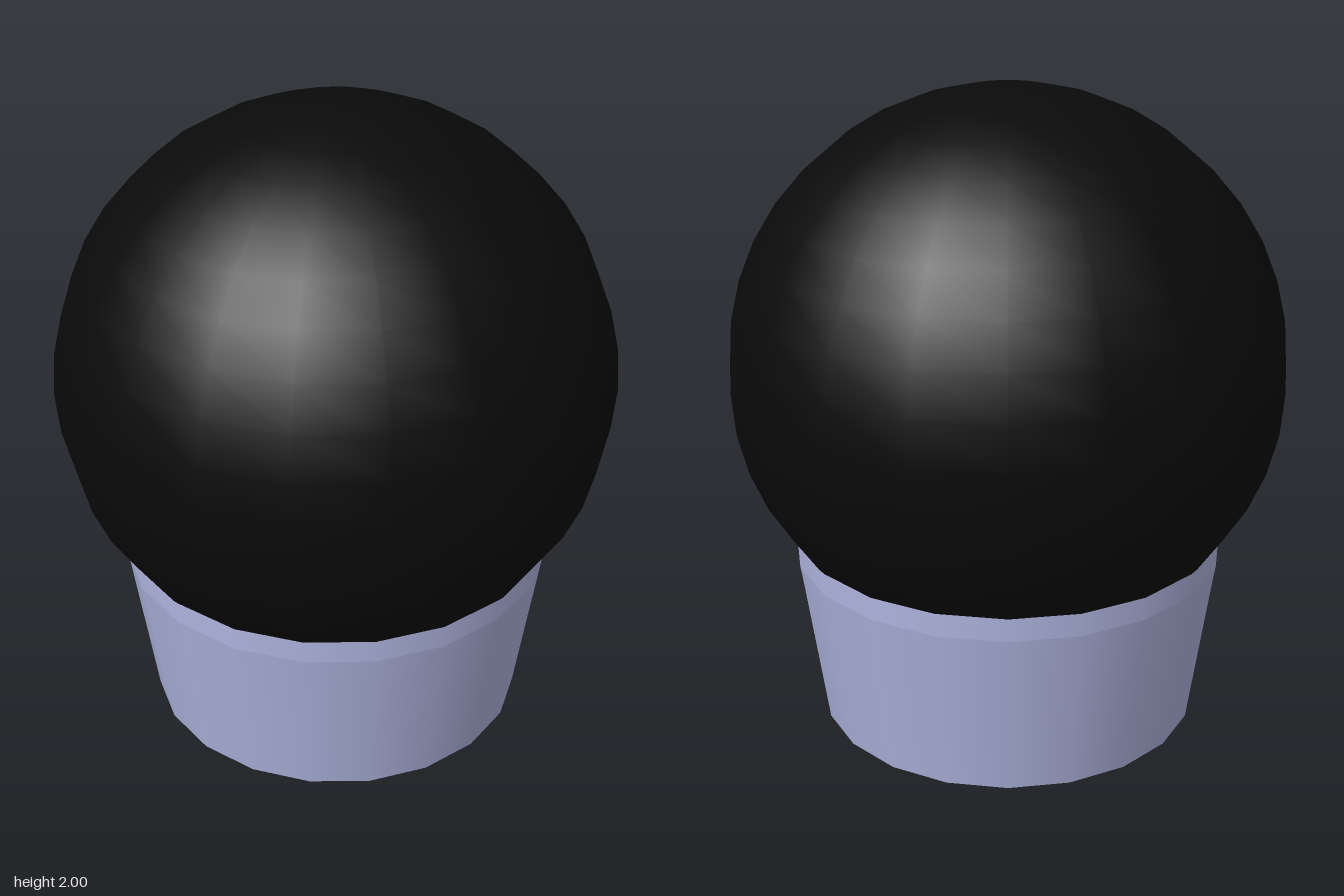
import * as THREE from 'three';

const SIDES = 20;

export function createModel() {
  const group = new THREE.Group();
  const black = new THREE.MeshStandardMaterial({ color: 0x0a0a0a });
  const lilac = new THREE.MeshStandardMaterial({ color: 0xadb3dd, side: THREE.DoubleSide });

  // Large dark ball resting in the cup
  const ball = new THREE.Mesh(new THREE.SphereGeometry(0.855, SIDES, 20), black);
  ball.name = 'ball';
  ball.position.y = 1.145;
  group.add(ball);

  // One cup band per straight profile run, so edges between runs stay sharp
  function band(name, ...profile) {
    const geometry = new THREE.LatheGeometry(profile.map(([r, y]) => new THREE.Vector2(r, y)), SIDES);
    const pos = geometry.attributes.position;
    // The cup body is slightly narrower front to back than the round rim
    for (let i = 0; i < pos.count; i++) {
      if (pos.getY(i) < 0.53) pos.setZ(i, pos.getZ(i) * 0.975);
    }
    const mesh = new THREE.Mesh(geometry, lilac);
    mesh.name = name;
    group.add(mesh);
  }
  band('cupWall', [0.6, 0], [0.671, 0.52]);
  band('rimUnderside', [0.671, 0.52], [0.675, 0.55]);
  band('cupRim', [0.675, 0.55], [0.675, 0.632]);
  band('cupBase', [0, 0], [0.6, 0]);

  return group;
}
